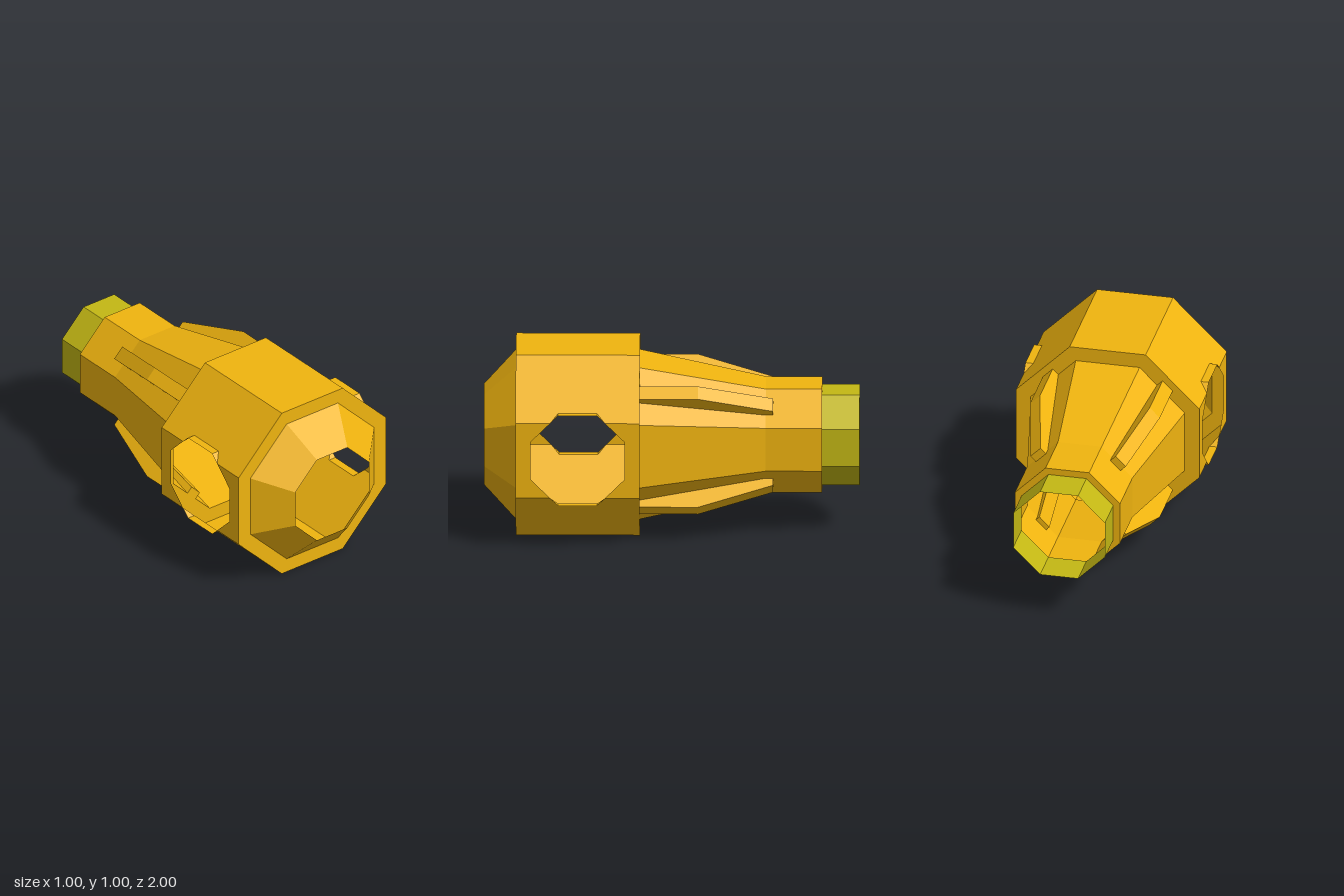
import * as THREE from 'three';

const CY = 0.5;                       // height of the main axis
const R = 0.5;                        // flat-to-axis distance of the body
const W = R * Math.tan(Math.PI / 8);  // half width of a body flat
const Z0 = 0.17, Z1 = 0.83, ZC = 0.5; // body ends and side port centre
const P = 0.25, PW = P * Math.tan(Math.PI / 8); // side port octagon
const DROP = P - W;                   // how far the port reaches past a side flat
const ZE = ZC - (PW + DROP);          // where the port crosses the body edge

export function createModel() {
  const group = new THREE.Group();
  const mat = (color) => new THREE.MeshStandardMaterial({ color, flatShading: true, side: THREE.DoubleSide });
  const amber = mat(0xf0b40f), olive = mat(0xc4b814);

  const add = (name, geometry, material = amber, parent = group) => {
    const mesh = new THREE.Mesh(geometry, material);
    mesh.name = name;
    parent.add(mesh);
    return mesh;
  };

  // Octagonal shell along z from [flat distance, z] pairs
  const octShell = (name, profile, material) => {
    const pts = profile.map(([r, z]) => new THREE.Vector2(r / Math.cos(Math.PI / 8), z));
    const g = new THREE.LatheGeometry(pts, 8, Math.PI / 8);
    g.rotateX(Math.PI / 2).translate(0, CY, 0);
    return add(name, g, material);
  };

  octShell('frontNozzle', [[R, Z1], [0.42, Z1], [0.25, 1]]);
  octShell('taperedNeck', [[0.25, -0.8], [0.287, -0.8], [0.287, -0.5], [0.42, Z0], [R, Z0]]);
  octShell('rearTube', [[0.25, -1], [0.25, -0.8]], olive);

  // Body panels, drawn flat as (across, z) and set around the axis
  const body = new THREE.Group();
  body.name = 'body';
  group.add(body);
  const mirrorZ = ([a, z]) => [a, 2 * ZC - z];
  const plain = [[-W, Z0], [W, Z0], [W, Z1], [-W, Z1]];
  const sideHalf = [[-W, Z0], [W, Z0], [W, ZE], [PW, ZC - P], [-PW, ZC - P], [-W, ZE]];
  const depth = W - DROP * Math.SQRT2;
  const notched = [[-W, Z0], [W, Z0], [W, ZE], [depth, ZC - PW], [depth, ZC + PW],
    [W, 2 * ZC - ZE], [W, Z1], [-W, Z1]];
  const flip = (poly) => poly.map(([a, z]) => [-a, z]);

  for (let i = 0; i < 8; i++) {
    let outlines = [plain];
    if (i % 4 === 0) outlines = [sideHalf, sideHalf.map(mirrorZ)];
    else if (i % 4 === 1) outlines = [flip(notched)];
    else if (i % 4 === 3) outlines = [notched];
    const c = Math.cos(i * Math.PI / 4), s = Math.sin(i * Math.PI / 4);
    for (const outline of outlines) {
      const g = new THREE.ShapeGeometry(new THREE.Shape(outline.map((p) => new THREE.Vector2(...p))));
      const pos = g.attributes.position;
      for (let k = 0; k < pos.count; k++) {
        const a = pos.getX(k), z = pos.getY(k);
        pos.setXYZ(k, R * c - a * s, CY + R * s + a * c, z);
      }
      g.computeVertexNormals();
      add('bodyPanel', g, amber, body);
    }
  }

  // Port lips: bridge the gap from the port rim to the sloping body flats
  for (const sx of [1, -1]) {
    for (const sy of [1, -1]) {
      const rim = [[-(PW + DROP), W], [-PW, P], [PW, P], [PW + DROP, W]];
      const verts = [], index = [];
      for (const [z, y] of rim) {
        verts.push(sx * R, CY + sy * y, ZC + z);
        verts.push(sx * (R - (y - W)), CY + sy * y, ZC + z);
      }
      for (let k = 0; k < 3; k++) {
        const a = 2 * k, quad = [a, a + 1, a + 2, a + 1, a + 3, a + 2];
        index.push(...(sx * sy > 0 ? quad.reverse() : quad));
      }
      const g = new THREE.BufferGeometry();
      g.setAttribute('position', new THREE.Float32BufferAttribute(verts, 3));
      g.setIndex(index);
      g.computeVertexNormals();
      add('portLip', g);
    }
  }

  // Four ribs along the diagonal flats of the neck
  const ribSide = [[0.38, Z0], [0.463, Z0], [0.463, -0.14], [0.329, -0.54], [0.26, -0.54]];
  const ribWidth = 0.078;
  for (let i = 0; i < 4; i++) {
    const g = new THREE.ExtrudeGeometry(new THREE.Shape(ribSide.map((p) => new THREE.Vector2(...p))),
      { depth: ribWidth, bevelEnabled: false });
    g.translate(0, 0, -ribWidth / 2).rotateX(Math.PI / 2);
    g.rotateZ(Math.PI / 4 + i * Math.PI / 2).translate(0, CY, 0);
    add('neckRib', g);
  }

  return group;
}
